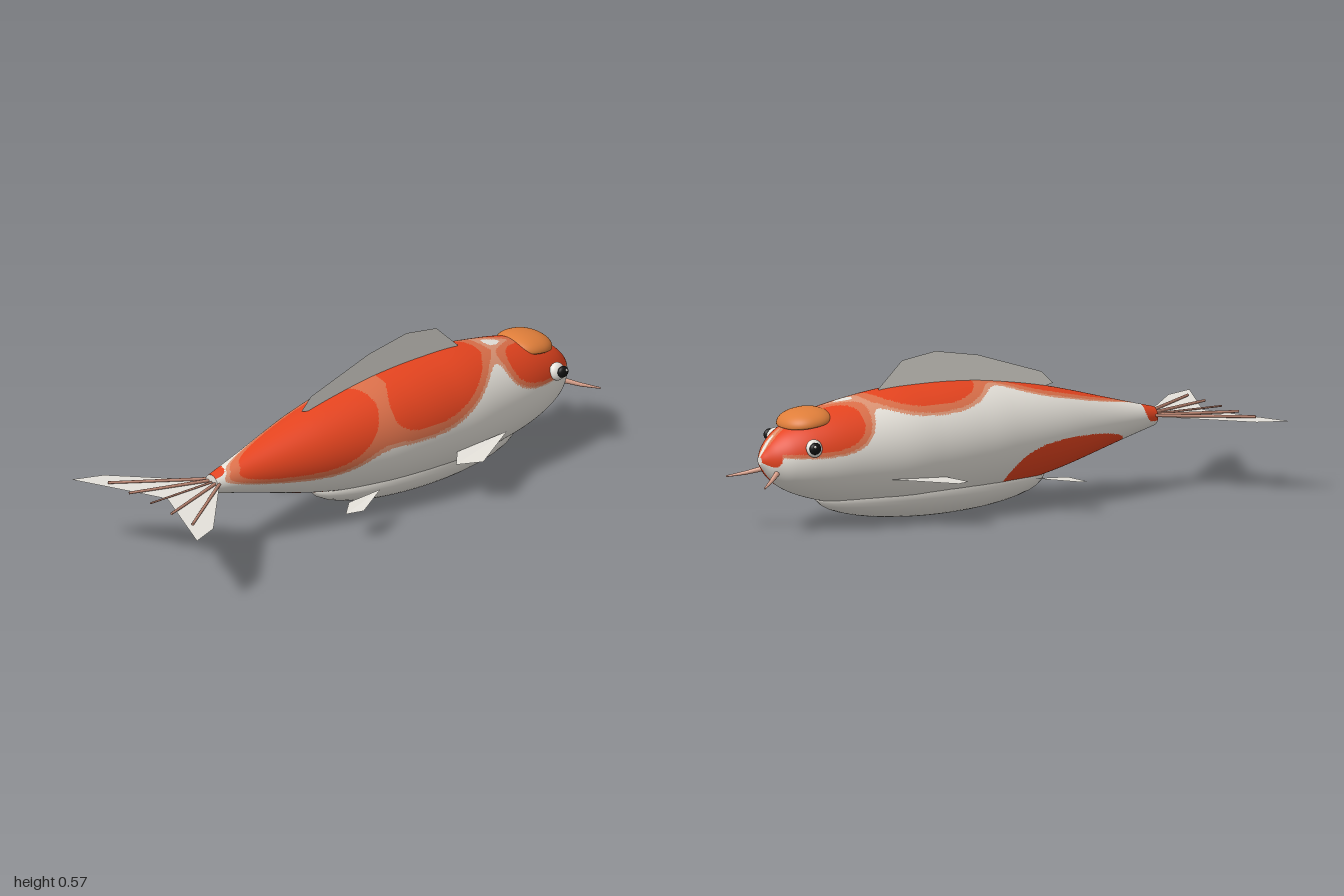
import * as THREE from 'three';

const mat = (name, color, extra = {}) => new THREE.MeshStandardMaterial({ name, color, ...extra });
const white = mat('body white', 0xe8e4dc);
const red = mat('patch red', 0xe5441f);
const pale = mat('patch edge', 0xdc704a);
const blush = mat('patch outer edge', 0xdd9474);
const orange = mat('crown orange', 0xdf7e3a);
const finMat = mat('fin grey', 0xe4e1da, { side: THREE.DoubleSide });
const rayMat = mat('ray brown', 0xbd8672);
const barbelMat = mat('barbel pink', 0xe0a690);
const eyeWhite = mat('eye white', 0xf2efe8);
const black = mat('pupil black', 0x141414);

const AXIS_Y = 0.254;
const PROFILE = [[-0.65, 0.033], [-0.5, 0.073], [-0.23, 0.146], [0, 0.188], [0.15, 0.203], [0.3, 0.207],
  [0.45, 0.202], [0.65, 0.173], [0.77, 0.142], [0.85, 0.107], [0.9, 0.068], [0.93, 0.03], [0.94, 0.014]];

// Colour patches: x centre, angle centre (degrees from the top towards +z), x radius, angle radius, skew
const SOFT_PATCHES = [
  [-0.275, 38, 0.275, 62, -0.06],
  [0.3, 18, 0.215, 59, -0.12],
  [0.762, 43, 0.165, 31, 0],
  [0.765, -40, 0.17, 37, 0],
];
const HARD_PATCHES = [
  [0.925, -62, 0.035, 48, 0],
  [0.905, 154, 0.045, 27, 0],
  [-0.23, -150, 0.27, 55, 0],
  [-0.64, -35, 0.045, 75, 0],
];

// 0 at a patch centre, 1 on its rim
function patchDistance([cx, ca, rx, ra, skew], x, deg) {
  const a = ((deg - ca + 540) % 360 - 180) / ra;
  const u = (x - cx - skew * Math.max(a, 0)) / rx;
  return Math.pow(Math.abs(u) ** 2.5 + Math.abs(a) ** 2.5, 0.4);
}

// 0 white, 1 red, 2 edge, 3 outer edge; edges of neighbouring soft patches flow together
function patchColour(x, deg) {
  const soft = SOFT_PATCHES.map((p) => patchDistance(p, x, deg));
  if (Math.min(...soft, ...HARD_PATCHES.map((p) => patchDistance(p, x, deg))) < 1) return 1;
  const glow = soft.reduce((s, d) => s + Math.exp(-2 * (d * d - 1)), 0);
  return glow > 0.56 ? 2 : glow > 0.42 ? 3 : 0;
}

function add(parent, name, geometry, material) {
  const m = new THREE.Mesh(geometry, material);
  m.name = name;
  parent.add(m);
  return m;
}

function ball(parent, name, material, pos, scale) {
  const m = add(parent, name, new THREE.SphereGeometry(1, 32, 20), material);
  m.position.set(...pos);
  m.scale.set(...scale);
  return m;
}

// Flat disc closing an end of the body, facing along x
function endCap(parent, name, x, radius) {
  const m = add(parent, name, new THREE.CircleGeometry(radius, 32), white);
  m.rotation.y = Math.sign(x) * Math.PI / 2;
  m.position.set(x, AXIS_Y, 0);
}

// Thin flat polygon, fanned from its first point
function fin(parent, name, pts) {
  const tris = [];
  for (let i = 1; i < pts.length - 1; i++) tris.push(...pts[0], ...pts[i], ...pts[i + 1]);
  const g = new THREE.BufferGeometry();
  g.setAttribute('position', new THREE.Float32BufferAttribute(tris, 3));
  g.computeVertexNormals();
  add(parent, name, g, finMat);
}

// Tapered rod between two points
function rod(parent, name, material, from, to, r0, r1) {
  const a = new THREE.Vector3(...from), b = new THREE.Vector3(...to);
  const dir = b.clone().sub(a);
  const m = add(parent, name, new THREE.CylinderGeometry(r1, r0, dir.length(), 10), material);
  m.position.copy(a).add(b).multiplyScalar(0.5);
  m.quaternion.setFromUnitVectors(new THREE.Vector3(0, 1, 0), dir.normalize());
}

// Round body whose faces are sorted into one group per colour
function bodyGeometry() {
  const curve = new THREE.SplineCurve(PROFILE.map(([x, r]) => new THREE.Vector2(r, x)));
  const g = new THREE.LatheGeometry(curve.getSpacedPoints(260), 160);
  g.rotateZ(-Math.PI / 2);
  const p = g.attributes.position, idx = g.index.array;
  const sets = [[], [], [], []];
  for (let i = 0; i < idx.length; i += 3) {
    const t = [idx[i], idx[i + 1], idx[i + 2]];
    const mean = (axis) => t.reduce((s, k) => s + p.getComponent(k, axis), 0) / 3;
    sets[patchColour(mean(0), THREE.MathUtils.radToDeg(Math.atan2(mean(2), mean(1))))].push(...t);
  }
  g.setIndex(sets.flat());
  let start = 0;
  sets.forEach((s, i) => { g.addGroup(start, s.length, i); start += s.length; });
  return g;
}

// Cushion with a domed top, a nearly flat underside and a softly squared outline
function crownGeometry() {
  const g = new THREE.SphereGeometry(1, 48, 32);
  const p = g.attributes.position;
  const soften = (v) => Math.sign(v) * Math.abs(v) ** 0.9;
  for (let i = 0; i < p.count; i++) {
    const y = p.getY(i);
    p.setXYZ(i, soften(p.getX(i)) * 0.093, y * (y > 0 ? 0.047 : 0.016), soften(p.getZ(i)) * 0.1);
  }
  g.computeVertexNormals();
  return g;
}

export function createModel() {
  const fish = new THREE.Group();
  fish.name = 'fish';

  // Body, end caps and belly
  add(fish, 'body', bodyGeometry(), [white, red, pale, blush]).position.y = AXIS_Y;
  endCap(fish, 'tailCap', -0.65, 0.033);
  endCap(fish, 'mouth', 0.94, 0.014);
  ball(fish, 'belly', white, [0.255, 0.1, 0], [0.455, 0.1, 0.15]);

  // Crown
  const crown = add(fish, 'crown', crownGeometry(), orange);
  crown.position.set(0.76, 0.377, 0);
  crown.rotation.z = -0.13;

  // Dorsal and tail fins
  fin(fish, 'dorsalFin', [[0.1, 0.4, 0], [0.46, 0.43, 0], [0.46, 0.46, 0], [0.365, 0.55, 0], [0.23, 0.57, 0],
    [0.06, 0.54, 0], [-0.2, 0.455, 0], [-0.245, 0.41, 0], [-0.2, 0.4, 0]]);
  const ty = 0.255;
  fin(fish, 'tailFin', [[-0.85, ty, 0], [-1, ty, 0.338], [-0.89, ty, 0.295], [-0.64, ty, 0.03],
    [-0.64, ty, -0.03], [-0.89, ty, -0.295], [-1, ty, -0.338]]);

  // Rays lying on top of the tail fin
  for (let i = -2; i <= 2; i++) {
    const r = i ? 0.006 : 0.004;
    rod(fish, 'tailRay', rayMat, [-0.62, ty + 0.005, i * 0.008], [-0.927, ty + 0.005, i * 0.114], r, r * 0.8);
  }

  // Paired parts
  for (const s of [1, -1]) {
    fin(fish, 'pectoralFin', [[0.525, 0.178, 0.19 * s], [0.3, 0.165, 0.19 * s],
      [0.245, 0.153, 0.25 * s], [0.32, 0.162, 0.307 * s]]);
    fin(fish, 'pelvicFin', [[-0.05, 0.125, 0.193 * s], [-0.19, 0.116, 0.191 * s],
      [-0.243, 0.102, 0.237 * s], [-0.19, 0.111, 0.271 * s]]);

    // Eye, flattened and tilted to follow the cheek
    const eye = ball(fish, 'eye', eyeWhite, [0.8, 0.306, 0.133 * s], [0.03, 0.032, 0.021]);
    eye.rotation.x = -0.3 * s;
    ball(fish, 'pupil', black, [0.808, 0.309, 0.154 * s], [0.022, 0.021, 0.014]);
    ball(fish, 'eyeGlint', eyeWhite, [0.815, 0.317, 0.165 * s], [0.005, 0.005, 0.004]);

    // Barbel in two tapering pieces
    const mid = [0.945, 0.198, 0.088 * s];
    rod(fish, 'barbelBase', barbelMat, [0.89, 0.218, 0.042 * s], mid, 0.01, 0.007);
    rod(fish, 'barbelTip', barbelMat, mid, [0.998, 0.184, 0.13 * s], 0.007, 0.003);
    ball(fish, 'barbelJoint', barbelMat, mid, [0.007, 0.007, 0.007]);
  }
  return fish;
}
